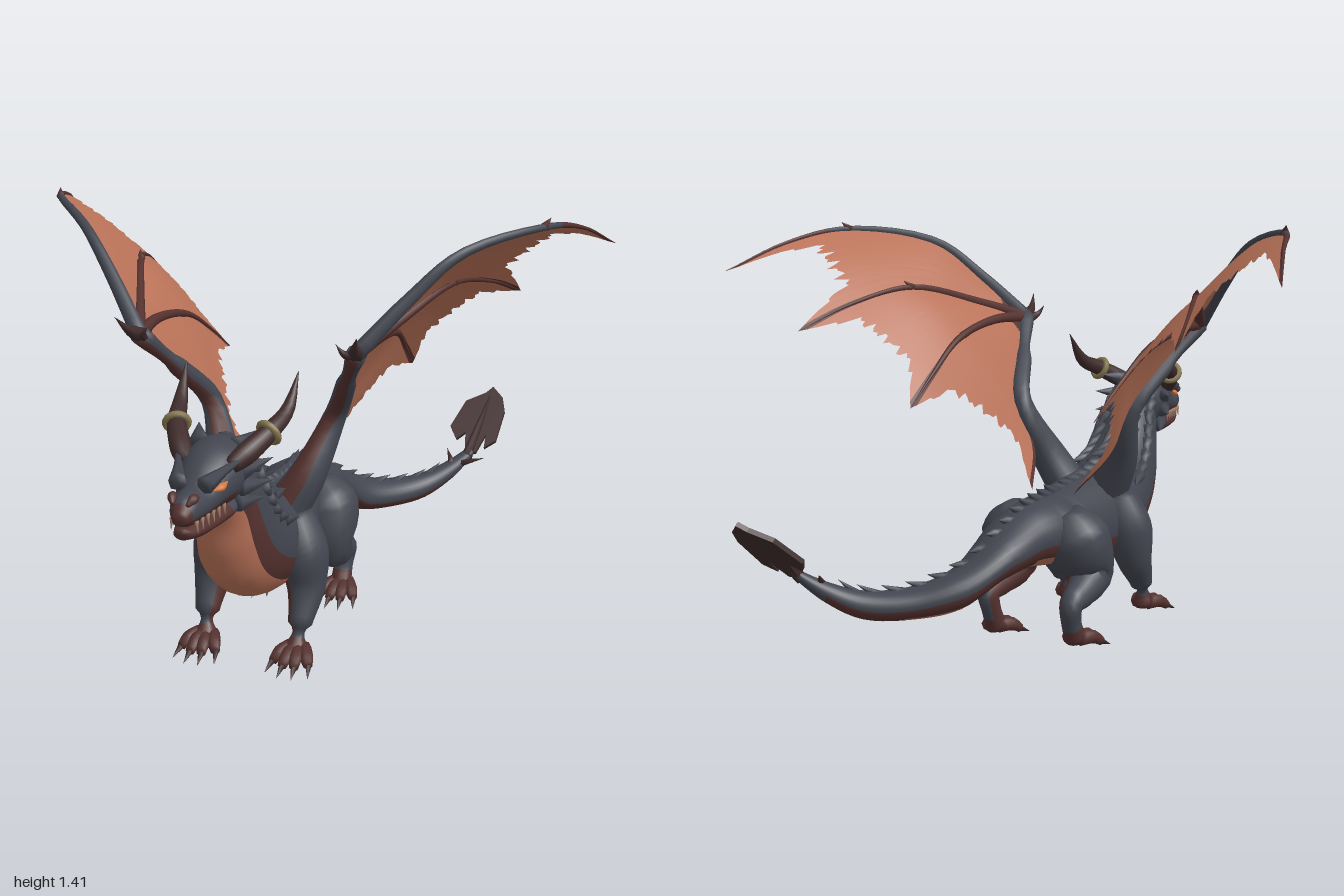
import * as THREE from 'three';

const V = (p) => new THREE.Vector3(...p);
const mat = (name, color) => Object.assign(new THREE.MeshStandardMaterial({ color, side: THREE.DoubleSide }), { name });

const hide = mat('slate hide', 0x434650);
const maroon = mat('maroon skin', 0x55322f);
const orange = mat('orange membrane', 0xb97258);
const horn = mat('dark horn', 0x402c2c);
const gold = mat('old gold', 0x85774f);
const tooth = mat('tooth', 0xa88672);
const ember = mat('ember eye', 0xd8763a);

const curve = (pts) => new THREE.CatmullRomCurve3(pts.map(V));

// Grid of points; each cell gets a material index from pick(i, j).
function grid(name, point, ni, nj, closed, mats, pick = () => 0) {
  const pos = [], lists = mats.map(() => []), cols = closed ? nj : nj + 1;
  for (let i = 0; i <= ni; i++) for (let j = 0; j < cols; j++) pos.push(...point(i, j).toArray());
  for (let i = 0; i < ni; i++) for (let j = 0; j < nj; j++) {
    const k = (j + 1) % cols, a = i * cols + j, b = a + cols, c = (i + 1) * cols + k, d = i * cols + k;
    lists[pick(i, j)].push(a, d, c, a, c, b);
  }
  const g = new THREE.BufferGeometry();
  g.setAttribute('position', new THREE.Float32BufferAttribute(pos, 3));
  g.setIndex(lists.flat());
  let start = 0;
  lists.forEach((l, m) => { g.addGroup(start, l.length, m); start += l.length; });
  g.computeVertexNormals();
  const mesh = new THREE.Mesh(g, mats);
  mesh.name = name;
  return mesh;
}

// Closed skin around rings given by frame(u) = { c, N, B }; pick(u, v) with v = turn around the ring.
function skin(name, frame, nu, nv, mats, pick = () => 0) {
  const point = (i, j) => {
    const { c, N, B } = frame(Math.min(1, Math.max(0, (i - 1) / nu)));
    if (i === 0 || i === nu + 2) return c;
    const a = (j / nv) * Math.PI * 2;
    return c.clone().addScaledVector(N, Math.cos(a)).addScaledVector(B, Math.sin(a));
  };
  return grid(name, point, nu + 2, nv, true, mats, (i, j) => pick((i - 0.5) / nu, (j + 0.5) / nv));
}

// Tapered limb, bone or spike along a path.
function limb(name, pts, radii, mats, { ref = [1, 0, 0], nu = 14, nv = 10, flat = 1, pick } = {}) {
  const path = curve(pts), rad = curve(radii.map((r) => [r, 0, 0])), R = V(ref);
  return skin(name, (u) => {
    const T = path.getTangent(u), r = Math.max(0.0005, rad.getPoint(u).x);
    const N = R.clone().addScaledVector(T, -R.dot(T)).normalize();
    return { c: path.getPoint(u), N: N.clone().multiplyScalar(r), B: T.clone().cross(N).multiplyScalar(r * flat) };
  }, nu, nv, mats, pick);
}

const spike = (name, pts, r, m, ref = [0.9, 0.3, 0.3]) =>
  limb(name, pts, pts.map((_, i) => r * (1 - i / (pts.length - 1))), [m], { ref, nu: pts.length > 2 ? 8 : 2, nv: 6 });

// Rings as [x, topZ, topY, bottomZ, bottomY, halfWidth].
function loftFrame(rings) {
  const top = curve(rings.map((r) => [r[0], r[2], r[1]])), low = curve(rings.map((r) => [r[0], r[4], r[3]]));
  const wide = curve(rings.map((r) => [r[5], 0, 0]));
  return (u) => {
    const a = top.getPoint(u), b = low.getPoint(u), N = a.clone().sub(b).multiplyScalar(0.5);
    const T = top.getTangent(u).add(low.getTangent(u)).normalize();
    return { c: a.add(b).multiplyScalar(0.5), N, T, B: T.clone().cross(N).normalize().multiplyScalar(wide.getPoint(u).x) };
  };
}

function mirrored(mesh) {
  const g = mesh.geometry.clone().scale(-1, 1, 1), ix = g.index.array;
  for (let i = 0; i < ix.length; i += 3) [ix[i], ix[i + 1]] = [ix[i + 1], ix[i]];
  const m = new THREE.Mesh(g, mesh.material);
  m.name = mesh.name.replace('left', 'right');
  return m;
}

export function createModel() {
  const model = new THREE.Group();
  model.name = 'dragon';
  const add = (...m) => model.add(...m);
  const pair = (...ms) => ms.forEach((m) => add(m, mirrored(m)));

  // Neck, trunk and tail in one skin with an orange underside
  const body = loftFrame([
    [0, 0.62, 0.82, 0.74, 0.64, 0.07], [0, 0.55, 0.77, 0.69, 0.56, 0.1], [0, 0.49, 0.68, 0.67, 0.45, 0.12],
    [0, 0.42, 0.61, 0.62, 0.34, 0.135], [0, 0.34, 0.57, 0.51, 0.25, 0.15], [0, 0.25, 0.54, 0.36, 0.2, 0.155],
    [0, 0.14, 0.525, 0.2, 0.2, 0.145], [0, 0.03, 0.51, 0.06, 0.25, 0.13], [0, -0.08, 0.5, -0.08, 0.27, 0.13],
    [0.015, -0.18, 0.48, -0.2, 0.28, 0.115], [0.035, -0.3, 0.42, -0.33, 0.26, 0.105], [0.09, -0.43, 0.33, -0.45, 0.19, 0.09],
    [0.19, -0.54, 0.275, -0.55, 0.17, 0.07], [0.31, -0.65, 0.27, -0.655, 0.18, 0.05], [0.4, -0.72, 0.305, -0.73, 0.24, 0.036],
    [0.47, -0.78, 0.35, -0.79, 0.32, 0.02]]);
  add(skin('body', body, 75, 28, [hide, maroon, orange], (u, v) => {
    const d = Math.abs(v - 0.5);
    return u < 0.82 && d < (u > 0.6 ? 0.1 : 0.16) ? 2 : u < 0.93 && d < 0.2 ? 1 : 0;
  }));

  // Back scales: a shaggy mane on the neck, then one ridge to the tail
  const scale = (u, turn, len, rise, r) => {
    const { c, N, B, T } = body(u);
    const out = N.clone().multiplyScalar(Math.cos(turn)).addScaledVector(B, Math.sin(turn));
    const p = c.clone().add(out), n = out.normalize();
    const at = (t, h) => p.clone().addScaledVector(T, t).addScaledVector(n, h).toArray();
    add(spike('backScale', [at(-0.03, -0.012), at(len, rise)], r, hide));
  };
  for (let i = 0; i < 8; i++) for (const t of [-1.1, -0.55, 0, 0.55, 1.1]) scale(0.02 + i * 0.033, t, 0.045, 0.035 - Math.abs(t) * 0.012, 0.028);
  for (let i = 0; i < 20; i++) scale(0.3 + i * 0.031, 0, 0.04, i < 6 ? 0.012 : 0.036 - i * 0.001, 0.036 - i * 0.001);

  // Tail blade with two barbs
  const outline = [[-0.02, 0], [-0.045, 0.28], [-0.07, 0.17], [-0.11, 0.35], [-0.085, 0.75], [-0.02, 0.9], [0, 1],
    [0.05, 0.85], [0.075, 0.65], [0.08, 0.2], [0.045, 0.08], [0.035, 0.28], [0.02, 0]];
  const bladeGeo = new THREE.ExtrudeGeometry(new THREE.Shape(outline.map((p) => new THREE.Vector2(...p))), { depth: 0.016, bevelEnabled: false });
  bladeGeo.translate(0, 0, -0.008).applyMatrix4(new THREE.Matrix4().makeBasis(V([1, 0, 0]), V([0.04, 0.2, -0.215]), V([0, 0.72, 0.69])).setPosition(0.47, 0.33, -0.785));
  const blade = new THREE.Mesh(bladeGeo, horn);
  blade.name = 'tailBlade';
  add(blade, spike('bladeRib', [[0.46, 0.32, -0.77], [0.49, 0.44, -0.88], [0.51, 0.53, -1]], 0.022, horn));
  add(spike('tailSpike', [[0.41, 0.3, -0.73], [0.38, 0.34, -0.78]], 0.015, horn), spike('tailSpike', [[0.44, 0.3, -0.74], [0.53, 0.33, -0.74]], 0.015, horn));

  // Head and jaw
  add(skin('head', loftFrame([
    [0, 1, 0.72, 0.995, 0.685, 0.02], [0, 0.96, 0.76, 0.96, 0.67, 0.042], [0, 0.88, 0.765, 0.88, 0.665, 0.058],
    [0, 0.82, 0.81, 0.81, 0.66, 0.08], [0, 0.74, 0.845, 0.73, 0.65, 0.1], [0, 0.66, 0.845, 0.68, 0.64, 0.095],
    [0, 0.58, 0.8, 0.65, 0.64, 0.06]]), 28, 20, [hide, maroon], (u, v) => (u < 0.12 || (u < 0.6 && Math.abs(v - 0.5) < 0.22) ? 1 : 0)));
  add(skin('jaw', loftFrame([
    [0, 0.98, 0.67, 0.975, 0.635, 0.025], [0, 0.92, 0.672, 0.92, 0.62, 0.045], [0, 0.82, 0.672, 0.82, 0.61, 0.062],
    [0, 0.72, 0.68, 0.72, 0.61, 0.075], [0, 0.66, 0.7, 0.66, 0.63, 0.06]]), 18, 16, [maroon, hide], (u) => (u > 0.65 ? 1 : 0)));
  pair(
    spike('leftBrow', [[0.04, 0.775, 0.9], [0.07, 0.795, 0.82], [0.125, 0.825, 0.7]], 0.028, hide),
    limb('leftEye', [[0.056, 0.752, 0.875], [0.072, 0.756, 0.85], [0.08, 0.764, 0.82]], [0.002, 0.012, 0.002], [ember]),
    limb('leftNostril', [[0.022, 0.745, 0.985], [0.032, 0.758, 0.96], [0.034, 0.752, 0.93]], [0.006, 0.014, 0.004], [maroon]));
  for (const [a, b] of [[[0.08, 0.76, 0.72], [0.15, 0.775, 0.62]], [[0.08, 0.71, 0.72], [0.15, 0.705, 0.62]], [[0.07, 0.66, 0.72], [0.12, 0.645, 0.62]], [[0.06, 0.82, 0.68], [0.1, 0.845, 0.58]]])
    pair(spike('leftCheekSpike', [a, b], 0.032, hide));
  for (let i = 0; i < 6; i++) {
    const z = 0.955 - i * 0.03, x = 0.037 + i * 0.005;
    pair(spike('leftTooth', [[x, 0.69, z], [x + 0.004, 0.654, z]], 0.007, tooth));
  }

  // Horns with a gold ring each
  pair(limb('leftHorn', [[0.07, 0.79, 0.77], [0.105, 0.82, 0.72], [0.145, 0.86, 0.645], [0.17, 0.9, 0.55], [0.18, 1, 0.47]], [0.025, 0.034, 0.03, 0.022, 0.001], [horn], { ref: [0, 1, 0.3] }));
  const ringGeo = new THREE.TorusGeometry(0.034, 0.011, 8, 18);
  ringGeo.applyQuaternion(new THREE.Quaternion().setFromUnitVectors(V([0, 0, 1]), V([0.36, 0.42, -0.83]).normalize())).translate(0.145, 0.86, 0.645);
  const ring = new THREE.Mesh(ringGeo, gold);
  ring.name = 'leftHornRing';
  pair(ring);

  // Legs with inner maroon skin, toes and claws
  const legPick = (u, v) => (u > 0.88 || (u > 0.25 && Math.abs(v - 0.5) < 0.17) ? 1 : 0);
  const legOpt = { nu: 24, nv: 14, pick: legPick };
  pair(
    limb('leftFrontLeg', [[0.1, 0.46, 0.29], [0.14, 0.34, 0.31], [0.16, 0.23, 0.325], [0.16, 0.12, 0.39], [0.155, 0.04, 0.42]], [0.07, 0.088, 0.066, 0.04, 0.04], [hide, maroon], legOpt),
    limb('leftHindLeg', [[0.08, 0.45, -0.05], [0.12, 0.36, -0.03], [0.15, 0.24, 0.015], [0.16, 0.195, -0.07], [0.16, 0.165, -0.14], [0.155, 0.1, -0.13], [0.155, 0.04, -0.1]], [0.06, 0.115, 0.078, 0.055, 0.04, 0.034, 0.038], [hide, maroon], legOpt));
  for (const z of [0.42, -0.1]) for (const d of [-1, -0.33, 0.33, 1]) {
    const x = 0.158, reach = Math.abs(d) > 0.5 ? 0.065 : 0.09;
    pair(
      limb('leftToe', [[x + d * 0.02, 0.045, z - 0.01], [x + d * 0.045, 0.042, z + reach * 0.6], [x + d * 0.06, 0.022, z + reach]], [0.026, 0.023, 0.015], [maroon], { nu: 6, nv: 8 }),
      spike('leftClaw', [[x + d * 0.058, 0.028, z + reach - 0.01], [x + d * 0.072, 0.002, z + reach + 0.045]], 0.013, horn));
  }

  // Wing bones
  const wrist = [0.35, 1.06, 0.44];
  const fingers = [
    [wrist, [0.48, 1.21, 0.34], [0.61, 1.335, 0.24], [0.82, 1.385, 0], [0.91, 1.34, -0.25], [0.99, 1.25, -0.47]],
    [wrist, [0.43, 1.12, 0.25], [0.54, 1.185, -0.02], [0.62, 1.14, -0.26], [0.68, 1.06, -0.48]],
    [wrist, [0.37, 1.06, 0.24], [0.365, 1.01, 0], [0.35, 0.91, -0.18], [0.34, 0.81, -0.33]]];
  const armEdge = [wrist, [0.28, 0.92, 0.3], [0.22, 0.78, 0.17], [0.15, 0.62, 0.16], [0.08, 0.5, 0.02]];
  pair(limb('leftWingArm', [[0.07, 0.46, 0.28], [0.14, 0.58, 0.25], [0.215, 0.78, 0.18], [0.28, 0.92, 0.3], wrist], [0.075, 0.062, 0.036, 0.032, 0.032], [hide, maroon],
    { nu: 20, pick: (u, v) => (v > 0.55 && v < 0.85 ? 1 : 0) }));
  fingers.forEach((f, n) => pair(limb('leftWingFinger', f, f.map((_, i) => (n ? 0.021 : 0.026) * (1 - i / (f.length - 1)) + 0.001), [hide, maroon],
    { ref: [0, 1, 0], nu: 24, nv: 8, pick: (u) => (n || u > 0.65 ? 1 : 0) })));
  pair(
    spike('leftWingClaw', [wrist, [0.36, 1.09, 0.5], [0.38, 1.14, 0.55]], 0.028, horn),
    spike('leftWingClaw', [[0.34, 1.05, 0.43], [0.32, 1.07, 0.48], [0.3, 1.1, 0.49]], 0.02, horn));
  for (const f of fingers.slice(0, 2)) {
    const [x, y, z] = f[f.length - 3];
    pair(spike('leftKnuckle', [[x, y, z], [x + 0.015, y + 0.025, z - 0.03]], 0.015, maroon));
  }

  // Wing membranes with ragged, scalloped trailing edges
  const edges = [...fingers, armEdge].map(curve);
  [0.27, 0.2, 0.22].forEach((dip, n) => {
    const A = edges[n], B = edges[n + 1], ni = 24, nj = 36;
    const point = (i, j) => {
      const s = j / nj, bow = Math.min(1, Math.sin(Math.PI * s) * 1.7);
      const rag = bow * 0.018 * (Math.sin(s * 47 + n) + Math.sin(s * 83 + 2 * n));
      const t = (i / ni) * (1 - dip * bow + rag);
      const p = A.getPoint(t).lerp(B.getPoint(t), s);
      p.y += 0.025 * Math.sin(Math.PI * s) * t;
      return p;
    };
    pair(grid('leftWingMembrane', point, ni, nj, false, [orange, maroon], (i, j) => {
      const t = (i + 0.5) / ni, s = (j + 0.5) / nj, side = Math.min(s, 1 - s);
      return t < 0.17 || side * t < 0.02 + 0.02 * Math.max(0, 0.5 - t) ? 1 : 0;
    }));
  });

  return model;
}
